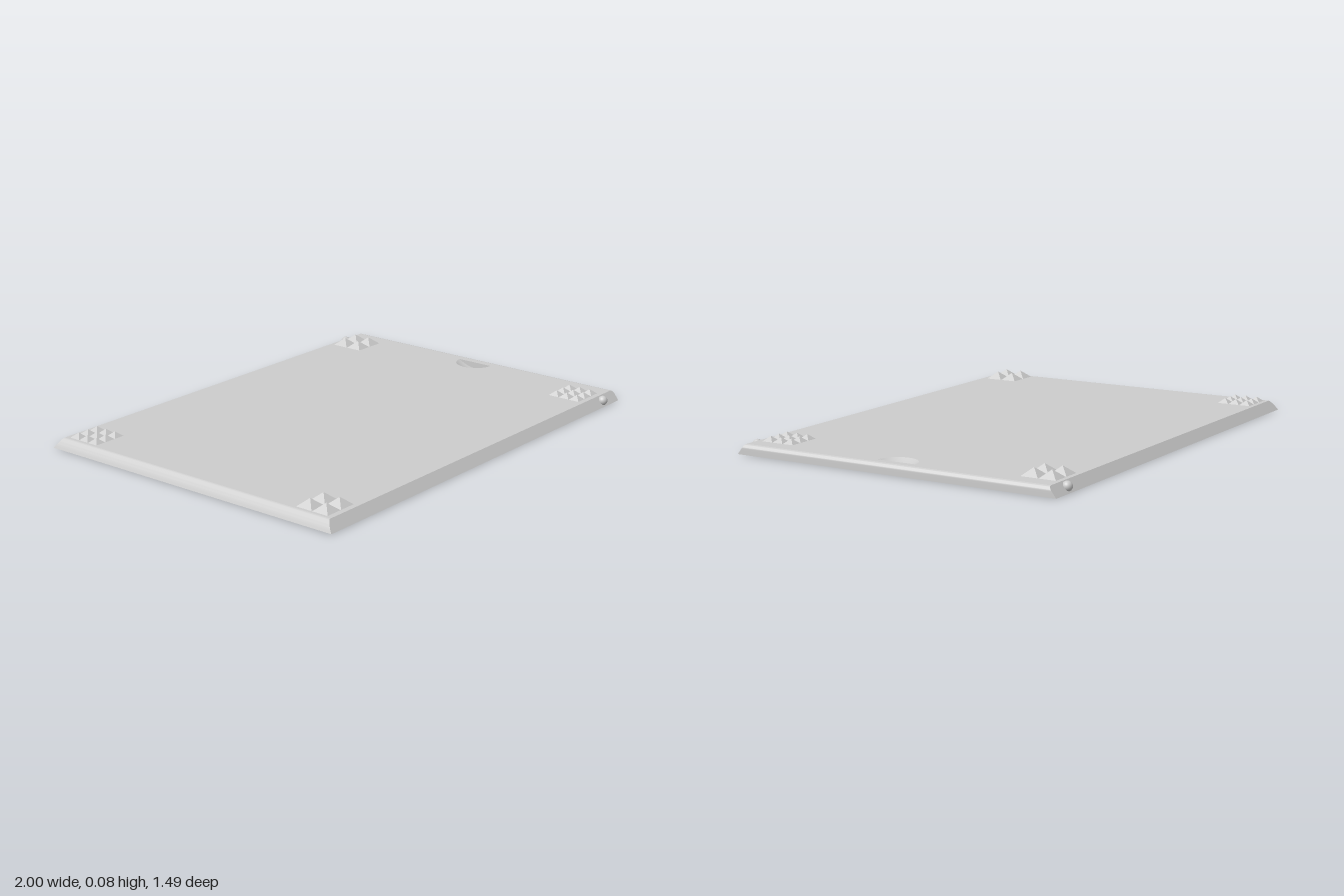
import * as THREE from 'three';
import { mergeGeometries, toCreasedNormals } from 'three/addons/utils/BufferGeometryUtils.js';

const TOP = 0.043, HALF_Z = 0.741, BEVEL = 0.033;
const grey = new THREE.MeshStandardMaterial({ color: 0xcccccc });
grey.name = 'plain grey';

function shapeOf(points) {
  return new THREE.Shape(points.map(([x, y]) => new THREE.Vector2(x, y)));
}

// Wall between two matching [x, z] loops; faces outward when x turns towards z
function wallBetween(lo, y0, hi, y1) {
  const pos = [];
  lo.forEach((p, k) => {
    const n = (k + 1) % lo.length;
    const a = [p[0], y0, p[1]], b = [lo[n][0], y0, lo[n][1]];
    const c = [hi[n][0], y1, hi[n][1]], d = [hi[k][0], y1, hi[k][1]];
    pos.push(...a, ...d, ...c, ...a, ...c, ...b);
  });
  const g = new THREE.BufferGeometry();
  g.setAttribute('position', new THREE.Float32BufferAttribute(pos, 3));
  g.computeVertexNormals();
  return g;
}

// Keep the part of a polygon where sign * coordinate <= limit
function clip(points, axis, sign, limit) {
  const out = [];
  points.forEach((a, i) => {
    const b = points[(i + 1) % points.length];
    const da = limit - sign * a[axis], db = limit - sign * b[axis];
    if (da >= 0) out.push(a);
    if (da * db < 0) {
      const t = da / (da - db);
      out.push([a[0] + (b[0] - a[0]) * t, a[1] + (b[1] - a[1]) * t]);
    }
  });
  return out;
}

// Honeycomb outlines in columns, trimmed to a rectangle
function honeycomb() {
  const pitch = 0.145, step = pitch * Math.sqrt(3) / 2, radius = 0.073;
  const cells = [];
  for (let col = -7; col <= 7; col++) {
    for (let row = -5; row <= 5; row++) {
      const cx = col * step, cz = (row + (col % 2 ? 0.5 : 0)) * pitch;
      let cell = [];
      for (let k = 0; k < 6; k++) {
        const a = k * Math.PI / 3;
        cell.push([cx + radius * Math.cos(a), cz + radius * Math.sin(a)]);
      }
      for (const s of [-1, 1]) cell = clip(clip(cell, 0, s, 0.82), 1, s, 0.53);
      if (cell.length > 2) cells.push(cell);
    }
  }
  return cells;
}

// Outline of the lid at height y: bevelled long sides, curved left end, rounded right end
function section(y) {
  const t = y / TOP, r = 0.018;
  const over = Math.max(0, y - (TOP - r));
  const x1 = 1 - r + Math.sqrt(Math.max(0, r * r - over * over));
  const x0 = -1 + 0.034 * (0.5 * t + 0.5 * (1 - Math.sqrt(Math.max(0, 1 - t * t))));
  const z = HALF_Z - BEVEL * t;
  return [[x0, -z], [x1, -z], [x1, z], [x0, z]];
}

function edgeGeometry() {
  const steps = 16, bands = [];
  const height = i => TOP * Math.sin(i / steps * Math.PI / 2);
  for (let i = 0; i < steps; i++) {
    const y0 = height(i), y1 = height(i + 1);
    bands.push(wallBetween(section(y0), y0, section(y1), y1));
  }
  return toCreasedNormals(mergeGeometries(bands), 0.5);
}

export function createModel() {
  const model = new THREE.Group();
  model.name = 'slidingLid';
  const add = (name, geometry, x = 0, y = 0, z = 0) => {
    const mesh = new THREE.Mesh(geometry, grey);
    mesh.name = name;
    mesh.position.set(x, y, z);
    model.add(mesh);
  };

  add('lidEdges', edgeGeometry());

  // Thumb notch: half bowl with an upright wall
  const R = 0.087, depth = 0.028, notchX = 0.948, steps = 24;
  const dip = r => -depth * (1 - (r / R) ** 2);
  const bowl = [];
  for (let i = 0; i <= 10; i++) {
    const r = R * (1 - i / 10);
    bowl.push(new THREE.Vector2(r, dip(r)));
  }
  add('thumbNotchBowl', new THREE.LatheGeometry(bowl, steps, Math.PI, Math.PI), notchX, TOP, 0);
  const wall = [], rim = [];
  for (let i = 0; i <= steps; i++) {
    const s = -R + 2 * R * i / steps, a = Math.PI / 2 + Math.PI * i / steps;
    wall.push([s, dip(s)]);
    rim.push([notchX + R * Math.cos(a), R * Math.sin(a)]);
  }
  add('thumbNotchWall', new THREE.ShapeGeometry(shapeOf(wall)).rotateY(-Math.PI / 2), notchX, TOP, 0);

  // Top face with the notch opening
  const topShape = shapeOf(section(TOP));
  topShape.holes.push(shapeOf(rim));
  add('topFace', new THREE.ShapeGeometry(topShape).rotateX(-Math.PI / 2), 0, TOP, 0);

  // Underside with honeycomb openings
  const cells = honeycomb(), pocketDepth = 0.027;
  const under = shapeOf(section(0));
  cells.forEach(c => under.holes.push(shapeOf(c)));
  add('underside', new THREE.ShapeGeometry(under).rotateX(Math.PI / 2));

  // Pockets: walls facing inward and a ceiling facing down, open at the bottom
  const walls = cells.map(c => {
    const inward = [...c].reverse();
    return wallBetween(inward, 0, inward, pocketDepth);
  });
  add('honeycombWalls', mergeGeometries(walls));
  add('honeycombCeilings', new THREE.ShapeGeometry(cells.map(shapeOf)).rotateX(Math.PI / 2), 0, pocketDepth, 0);

  // Corner grips: grids of small open-based pyramids
  const size = 0.156;
  const grip = (name, n, height, cx, cz) => {
    const pitch = size / n, w = pitch - 0.003, parts = [];
    for (let i = 0; i < n; i++) {
      for (let j = 0; j < n; j++) {
        const g = new THREE.ConeGeometry(w / Math.SQRT2, height, 4, 1, true).rotateY(Math.PI / 4)
          .translate((i - (n - 1) / 2) * pitch, height / 2, (j - (n - 1) / 2) * pitch).toNonIndexed();
        g.computeVertexNormals();
        parts.push(g);
      }
    }
    add(name, mergeGeometries(parts), cx, TOP, cz);
  };
  grip('frontRightGrip', 2, 0.032, -0.876, 0.608);
  grip('backLeftGrip', 2, 0.032, 0.835, -0.612);
  grip('frontLeftGrip', 3, 0.021, 0.835, 0.608);
  grip('backRightGrip', 3, 0.021, -0.876, -0.612);

  // Snap bumps on both long edges
  for (const s of [-1, 1]) {
    add(s > 0 ? 'frontSnapBump' : 'backSnapBump',
      new THREE.SphereGeometry(0.021, 24, 16), 0.892, 0.024, s * 0.726);
  }
  return model;
}
